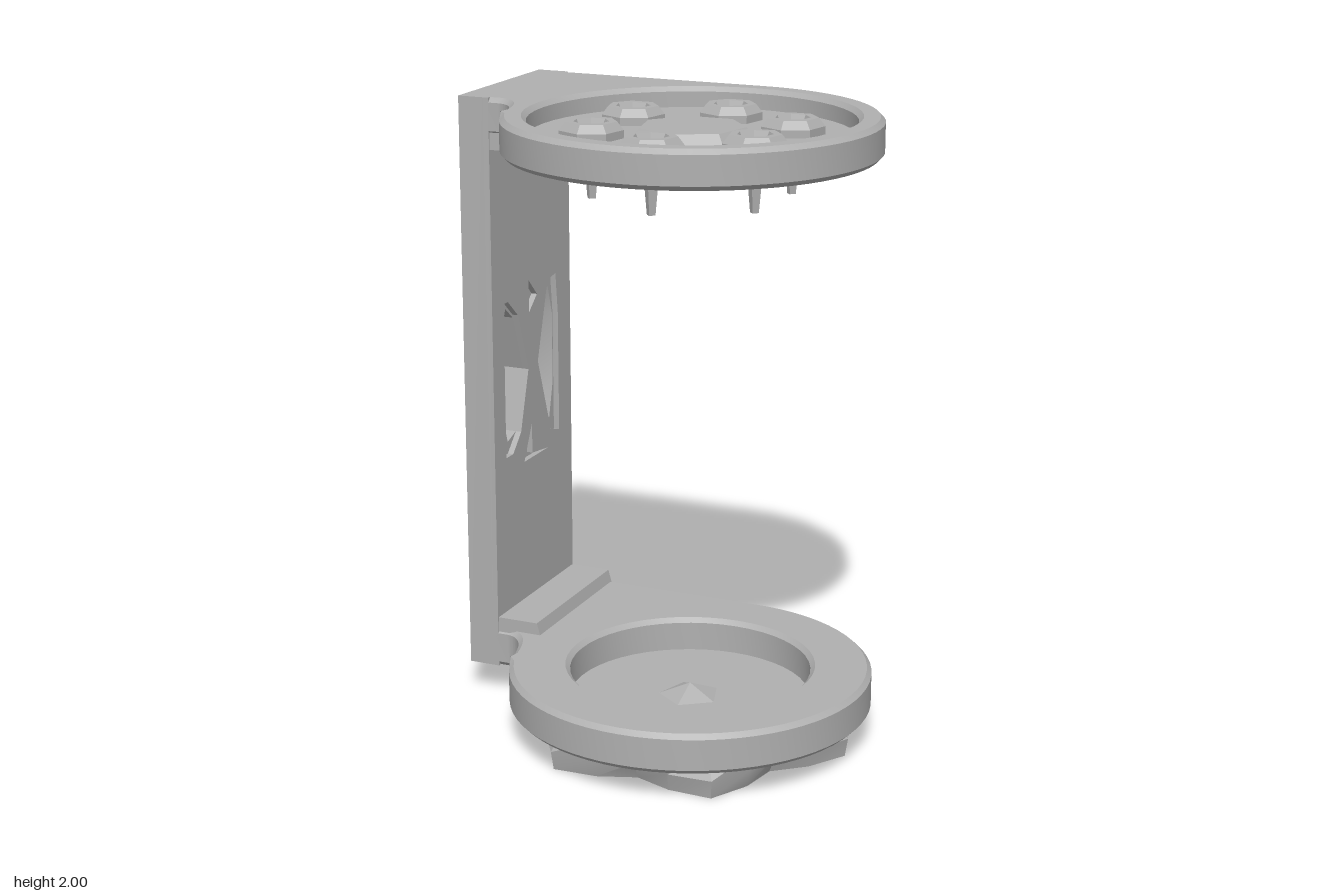
import * as THREE from 'three';
import { toCreasedNormals } from 'three/addons/utils/BufferGeometryUtils.js';

const CX = 0.11; // x of the round plates' axis
const BACK = -0.58, FRONT = -0.01; // z range of the column

export function createModel() {
  const group = new THREE.Group();
  const grey = new THREE.MeshStandardMaterial({ color: 0xb0b0b0 });
  grey.name = 'grey plastic';

  function add(name, geometry, x = 0, y = 0, z = 0) {
    const mesh = new THREE.Mesh(toCreasedNormals(geometry, 0.4), grey);
    mesh.name = name;
    mesh.position.set(x, y, z);
    group.add(mesh);
    return mesh;
  }
  const points = (list) => list.map(([x, y]) => new THREE.Vector2(x, y));
  const lathe = (list, sides) => new THREE.LatheGeometry(points(list), sides);

  // Round plate with an arm along the back and a circular opening
  function plate(name, y0, y1, holeRadius) {
    const s = new THREE.Shape();
    s.moveTo(-0.64, 0.58);
    s.lineTo(-0.64, 0.01);
    s.lineTo(-0.55, 0.01);
    s.quadraticCurveTo(-0.475, 0, -0.4445, -0.17);
    s.absarc(CX, 0, 0.58, Math.PI + 0.297, Math.PI * 2.5, false);
    s.closePath();
    const hole = new THREE.Path();
    hole.absarc(CX, 0, holeRadius, 0, Math.PI * 2, true);
    s.holes.push(hole);
    const b = 0.015;
    const g = new THREE.ExtrudeGeometry(s, {
      depth: y1 - y0 - 2 * b, bevelThickness: b, bevelSize: b,
      bevelOffset: -b, bevelSegments: 1, curveSegments: 24,
    });
    g.rotateX(-Math.PI / 2);
    add(name, g, 0, y0 + b, 0);
  }
  plate('topPlate', 1.88, 2.0, 0.5);
  plate('bottomPlate', 0.1, 0.23, 0.385);

  // Recessed floor of the top plate with a raised centre
  add('topFloor', new THREE.CylinderGeometry(0.51, 0.51, 0.05, 24), CX, 1.91, 0);
  add('topCentre', new THREE.CylinderGeometry(0.165, 0.19, 0.03, 7), CX, 1.95, 0);

  // Six cups above, each with a thin spike below
  const cup = [[0.1, 1.93], [0.1, 1.96], [0.08, 1.985], [0.055, 1.985], [0.035, 1.945], [0, 1.945]];
  for (let i = 0; i < 6; i++) {
    const a = (i + 0.5) * Math.PI / 3;
    const x = CX + 0.305 * Math.cos(a), z = 0.305 * Math.sin(a);
    add('cup', lathe(cup, 7), x, 0, z).rotation.y = i * 0.9;
    add('spike', new THREE.CylinderGeometry(0.025, 0.014, 0.12, 4), x, 1.81, z);
  }

  // Stepped rings under the top plate
  add('underRing', lathe([
    [0, 1.83], [0.07, 1.83], [0.1, 1.80], [0.15, 1.80], [0.18, 1.86],
    [0.21, 1.86], [0.24, 1.835], [0.3, 1.845], [0.36, 1.885],
  ], 16), CX);

  // Column in two layers; the inner one has wider openings and shallow dents
  const lens = [
    [[0.10, 1.2], [0.14, 1.29], [0.19, 1.25], [0.26, 1.06], [0.2, 0.86], [0.14, 0.84], [0.1, 0.96]],
    [[0.33, 1.07], [0.41, 1.27], [0.45, 1.3], [0.48, 1.2], [0.48, 0.96], [0.45, 0.84], [0.41, 0.86]],
  ];
  const wide = [
    [[0.09, 1.32], [0.12, 1.32], [0.19, 1.26], [0.26, 1.06], [0.2, 0.86], [0.14, 0.8], [0.09, 0.8]],
    [[0.33, 1.07], [0.41, 1.33], [0.47, 1.34], [0.485, 1.2], [0.485, 0.79], [0.42, 0.81]],
    [[0.27, 1.25], [0.27, 1.36], [0.33, 1.3]],
    [[0.22, 0.75], [0.28, 0.87], [0.28, 0.765], [0.4, 0.75]],
  ];
  function columnLayer(name, x, depth, holes) {
    const s = new THREE.Shape(points([[-FRONT, 0.1], [-BACK, 0.1], [-BACK, 2], [-FRONT, 2]]));
    for (const h of holes) s.holes.push(new THREE.Path(points(h)));
    const g = new THREE.ExtrudeGeometry(s, { depth, bevelEnabled: false });
    g.rotateY(Math.PI / 2);
    add(name, g, x);
  }
  columnLayer('columnOuter', -0.69, 0.085, lens);
  columnLayer('columnInner', -0.605, 0.02, wide);

  // Corner blocks where the column meets the plates
  function cornerBlock(name, profile) {
    const s = new THREE.Shape(points(profile));
    add(name, new THREE.ExtrudeGeometry(s, { depth: FRONT - BACK - 0.01, bevelEnabled: false }), 0, 0, BACK + 0.005);
  }
  cornerBlock('lowerBlock', [[-0.6, 0.2], [-0.425, 0.2], [-0.445, 0.27], [-0.6, 0.27]]);
  cornerBlock('upperBlock', [[-0.6, 1.835], [-0.46, 1.835], [-0.42, 1.9], [-0.6, 1.9]]);

  // Six-lobed base; its top is the floor of the bottom recess
  const base = new THREE.CylinderGeometry(1, 1, 0.12, 24, 2);
  const p = base.attributes.position;
  for (let i = 0; i < p.count; i++) {
    const x = p.getX(i), z = p.getZ(i), y = p.getY(i);
    const lobe = Math.cos(6 * Math.atan2(z, x));
    const r = y > 0.03 ? 0.5 : y > -0.03 ? 0.49 + 0.05 * lobe : 0.47 + 0.06 * lobe;
    p.setXYZ(i, x * r, y, z * r);
  }
  add('base', base, CX, 0.065, 0);
  add('baseStud', new THREE.ConeGeometry(0.1, 0.04, 5), CX, 0.14, 0);

  // Centre the height on the ground
  base.computeBoundingBox();
  group.getObjectByName('base').position.y = 0.06;
  return group;
}
